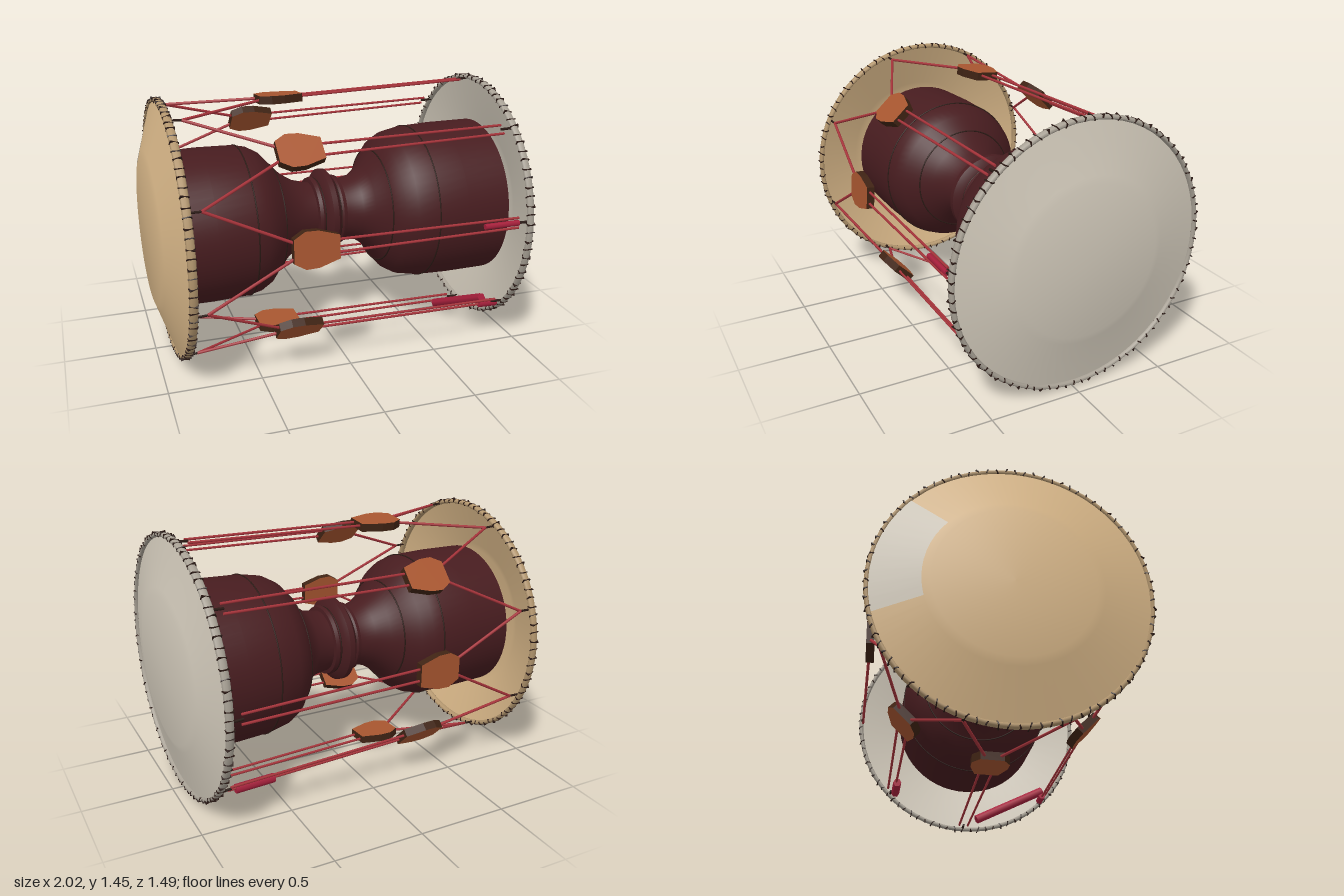
import * as THREE from 'three';
import { toCreasedNormals, mergeGeometries } from 'three/addons/utils/BufferGeometryUtils.js';

const CY = 0.73; // height of the drum axis
const DEG = Math.PI / 180;

function mat(name, color, double = false) {
  const m = new THREE.MeshStandardMaterial({ color, side: double ? THREE.DoubleSide : THREE.FrontSide });
  m.name = name;
  return m;
}

export function createModel() {
  const M = {
    wood: mat('dark red wood', 0x471c1f, true),
    groove: mat('groove brown', 0x2b1a15),
    tan: mat('tan hide', 0xd6b587, true),
    cream: mat('cream hide', 0xd0c8b9, true),
    tanRim: mat('tan rim', 0xb3966e),
    creamRim: mat('grey rim', 0xa8a195),
    rope: mat('red rope', 0xa8343b),
    strap: mat('crimson strap', 0xa8203c),
    leather: mat('orange leather', 0xa85630),
    lining: mat('dark leather', 0x3f2314),
  };
  const model = new THREE.Group();
  model.name = 'hourglassDrum';
  const drum = new THREE.Group();
  drum.name = 'drum';
  drum.position.y = CY;
  drum.rotation.y = 0.028;
  model.add(drum);

  const add = (name, geo, material) => {
    const mesh = new THREE.Mesh(geo, material);
    mesh.name = name;
    drum.add(mesh);
    return mesh;
  };
  // Turned part around the x axis, from [x, radius] pairs
  const turned = (name, pts, material, start = 0, length = Math.PI * 2) => {
    const n = Math.max(6, Math.round(56 * length / (Math.PI * 2)));
    const geo = new THREE.LatheGeometry(pts.map(([x, r]) => new THREE.Vector2(r, x)), n, start, length);
    geo.rotateZ(-Math.PI / 2);
    return add(name, toCreasedNormals(geo, 0.5), material);
  };
  const ring = (name, x, r, tube, material, squash = 1) => {
    const geo = new THREE.TorusGeometry(r, tube, 8, 64);
    geo.scale(1, 1, squash).rotateY(Math.PI / 2);
    add(name, geo, material).position.x = x;
  };
  // Point at distance x along the axis; angle runs from the front upwards
  const polar = (x, r, deg) => new THREE.Vector3(x, r * Math.sin(deg * DEG), r * Math.cos(deg * DEG));
  const rod = (name, a, b, r, material) => {
    const mesh = add(name, new THREE.CylinderGeometry(r, r, a.distanceTo(b), 6), material);
    mesh.position.copy(a).add(b).multiplyScalar(0.5);
    mesh.quaternion.setFromUnitVectors(new THREE.Vector3(0, 1, 0), b.clone().sub(a).normalize());
  };

  // Hourglass body: two bowls joined by a slim waist
  turned('body', [
    [-0.93, 0.42], [-0.7, 0.425], [-0.5, 0.42], [-0.43, 0.405], [-0.37, 0.37], [-0.31, 0.3], [-0.25, 0.24],
    [-0.18, 0.195], [-0.1, 0.172], [0, 0.17], [0.1, 0.175], [0.18, 0.19], [0.24, 0.235], [0.3, 0.325],
    [0.35, 0.385], [0.41, 0.42], [0.52, 0.442], [0.7, 0.45], [0.95, 0.45]], M.wood);
  turned('waistRing', [
    [-0.085, 0.17], [-0.08, 0.195], [-0.06, 0.2], [-0.045, 0.19], [-0.035, 0.215], [-0.015, 0.24],
    [0.015, 0.24], [0.035, 0.215], [0.045, 0.19], [0.06, 0.2], [0.08, 0.195], [0.085, 0.17]], M.wood);
  for (const [x, r] of [[-0.49, 0.419], [-0.305, 0.296], [-0.046, 0.191], [0.046, 0.191], [0.3, 0.325], [0.53, 0.443]])
    ring('bodyGroove', x, r, 0.004, M.groove);

  // Drum heads: shallow cones with flat centres, and a pale patch on the outside of the left one
  turned('leftHead', [[-1, 0], [-0.998, 0.4], [-0.985, 0.44], [-0.9, 0.7]], M.tan);
  turned('leftHeadPatch', [[-0.989, 0.442], [-0.906, 0.696]], M.cream, Math.PI - 0.25, 1.0);
  turned('rightHead', [[0.925, 0.71], [0.985, 0.44], [0.997, 0.4], [1, 0]], M.cream);

  // Rims with rows of small dark stitches
  const rim = (side, x, r, material) => {
    ring(side + 'Rim', x, r, 0.013, material, 1.7);
    const stitches = [];
    for (let i = 0; i < 90; i++) {
      const stitch = new THREE.BoxGeometry(0.046, 0.006, 0.022);
      stitch.rotateY(i % 3 * 0.3 - 0.3).rotateX(i % 2 ? 0.5 : -0.4);
      stitch.translate(0, 0, r + 0.003).rotateX(-i * 4 * DEG);
      stitches.push(stitch);
    }
    add(side + 'RimStitches', mergeGeometries(stitches), M.groove).position.x = x;
  };
  rim('left', -0.893, 0.695, M.tanRim);
  rim('right', 0.925, 0.706, M.creamRim);

  // Leather slider: a tapered pad with dark edges
  const outline = [[-0.12, 0.062], [-0.06, 0.098], [0.01, 0.096], [0.12, 0.062]];
  const corners = [...outline, ...outline.map(([x, w]) => [x, -w]).reverse()];
  const pad = new THREE.ExtrudeGeometry(
    new THREE.Shape(corners.map(([x, y]) => new THREE.Vector2(x, y))), { depth: 0.044, bevelEnabled: false });
  pad.translate(0, 0, -0.022);

  // Eight sliders, with cords zigzagging to hooks on one head and running straight to the other
  const sliders = [ // position along the drum, angle
    [-0.27, 5], [-0.28, 48], [-0.24, 95], [-0.29, 137], [-0.27, 181], [-0.3, 225], [-0.28, 268], [-0.3, 315]];
  sliders.forEach(([x, a], k) => {
    const slider = add('slider', pad, [M.leather, M.lining]);
    slider.position.copy(polar(x, 0.665, a));
    slider.rotation.x = -a * DEG;

    const hookAngle = 26 + 45 * k;
    for (const s of [-1, 1]) {
      const mouth = polar(x - 0.1, 0.665, a + 3 * s);
      rod('zigzagCord', polar(-0.82, 0.685, hookAngle + (s < 0 ? -45 : 0)), mouth, 0.008, M.rope);
      rod('straightCord', mouth, polar(0.86, 0.695, a + 2.2 * s), 0.007, M.rope);
    }
    rod('leftHook', polar(-0.82, 0.685, hookAngle), polar(-0.9, 0.69, hookAngle), 0.006, M.groove);
    rod('rightHook', polar(0.85, 0.695, a), polar(0.93, 0.7, a), 0.007, M.groove);
  });

  // Cord wrapping and the loose strap end
  rod('cordWrap', polar(0.6, 0.69, 228), polar(0.82, 0.695, 228), 0.025, M.strap);
  rod('cordWrap', polar(0.78, 0.69, 313), polar(0.89, 0.695, 313), 0.022, M.strap);
  rod('cordWrap', polar(0.66, 0.69, 5), polar(0.86, 0.695, 5), 0.016, M.strap);
  rod('strap', new THREE.Vector3(0.8, -0.47, 0.47), new THREE.Vector3(0.73, -0.69, 0.04), 0.026, M.strap);

  return model;
}
